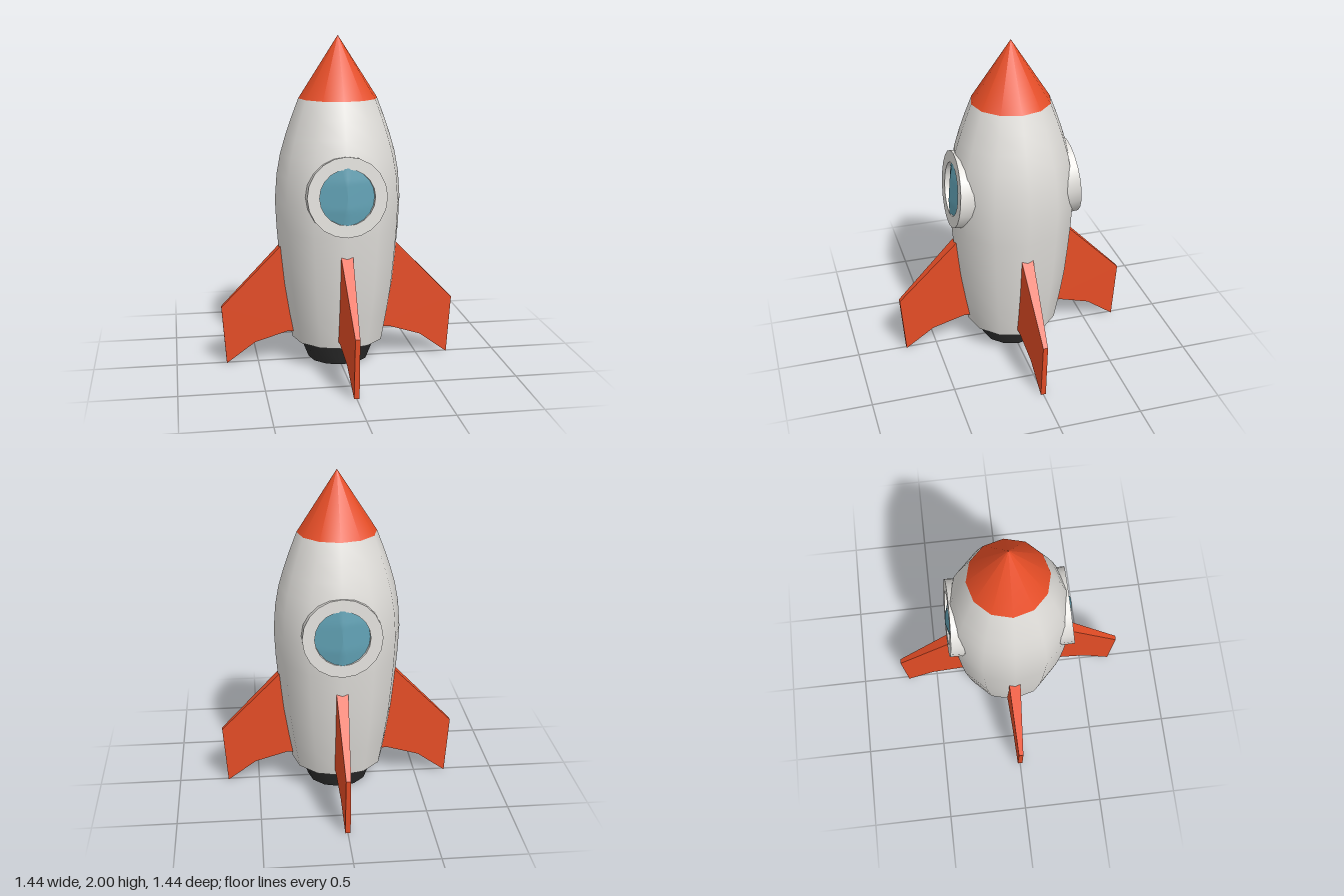
import * as THREE from 'three';
import { toCreasedNormals } from 'three/addons/utils/BufferGeometryUtils.js';

const SIDES = 12;
// Hull outline as [radius, height]
const HULL = [[0.285, 0.15], [0.316, 0.32], [0.344, 0.5], [0.362, 0.68], [0.376, 0.85], [0.384, 1.02],
  [0.372, 1.18], [0.35, 1.3], [0.318, 1.41], [0.28, 1.52], [0.238, 1.63]];

function material(name, color) {
  const m = new THREE.MeshStandardMaterial({ color });
  m.name = name;
  return m;
}

function mesh(name, geometry, mat) {
  const m = new THREE.Mesh(geometry, mat);
  m.name = name;
  return m;
}

// Turned part with smooth sides and sharp rims
function turned(points, sides) {
  const g = new THREE.LatheGeometry(points.map(([r, y]) => new THREE.Vector2(r, y)), sides);
  return toCreasedNormals(g, 0.7);
}

function hullRadius(y) {
  const i = Math.max(1, HULL.findIndex((p) => p[1] >= y));
  const [r0, y0] = HULL[i - 1], [r1, y1] = HULL[i];
  return r0 + (r1 - r0) * (y - y0) / (y1 - y0);
}

// Round pane lying on the two hull facets beside the front ridge
function paneGeometry(radius, centreY) {
  const g = new THREE.RingGeometry(0.0001, radius, 32, 8);
  const p = g.attributes.position;
  for (let i = 0; i < p.count; i++) {
    const y = p.getY(i) + centreY;
    p.setXYZ(i, p.getX(i), y, hullRadius(y) - Math.abs(p.getX(i)) * Math.tan(Math.PI / SIDES) + 0.004);
  }
  g.computeVertexNormals();
  return g;
}

// Swept fin, tapering in thickness toward its tip
function finGeometry() {
  const outline = [[0.2, 0.195], [0.32, 0.195], [0.52, 0.13], [0.695, 0], [0.722, 0.36], [0.365, 0.728], [0.28, 0.815]];
  const shape = new THREE.Shape(outline.map(([x, y]) => new THREE.Vector2(x, y)));
  const g = new THREE.ExtrudeGeometry(shape, { depth: 2, bevelEnabled: false });
  g.translate(0, 0, -1);
  const p = g.attributes.position;
  for (let i = 0; i < p.count; i++) p.setZ(i, p.getZ(i) * (0.056 - 0.058 * p.getX(i)));
  g.computeVertexNormals();
  return g;
}

export function createModel() {
  const white = material('hull white', 0xe0deda);
  const orange = material('orange red', 0xe64d26);
  const blue = material('window blue', 0x5f9fb2);
  const dark = material('nozzle black', 0x2e2e2e);

  const rocket = new THREE.Group();
  rocket.name = 'rocket';

  // Hull, nose and hollow nozzle
  rocket.add(mesh('hull', turned([[0, 0.15], ...HULL], SIDES), white));
  rocket.add(mesh('noseCone', turned([[0.238, 1.63], [0, 2]], SIDES), orange));
  rocket.add(mesh('nozzle', turned([[0, 0.1], [0.135, 0.1], [0.15, 0.015], [0.185, 0.015], [0.238, 0.15]], SIDES), dark));

  // Portholes front and back: a tilted ring around a pane
  const ring = turned([[0.163, -0.15], [0.235, -0.15], [0.235, 0], [0.163, 0], [0.163, -0.15]], 20);
  ring.rotateX(Math.PI / 2 - 0.085);
  ring.translate(0, 1.095, 0.371);
  const pane = paneGeometry(0.166, 1.097);
  for (const [name, turn] of [['front', 0], ['back', Math.PI]]) {
    const porthole = new THREE.Group();
    porthole.name = name + 'Porthole';
    porthole.add(mesh('windowRing', ring, white), mesh('windowPane', pane, blue));
    porthole.rotation.y = turn;
    rocket.add(porthole);
  }

  // Four fins
  const fin = finGeometry();
  ['left', 'back', 'right', 'front'].forEach((name, i) => {
    const f = mesh(name + 'Fin', fin, orange);
    f.rotation.y = i * Math.PI / 2;
    rocket.add(f);
  });

  return rocket;
}
